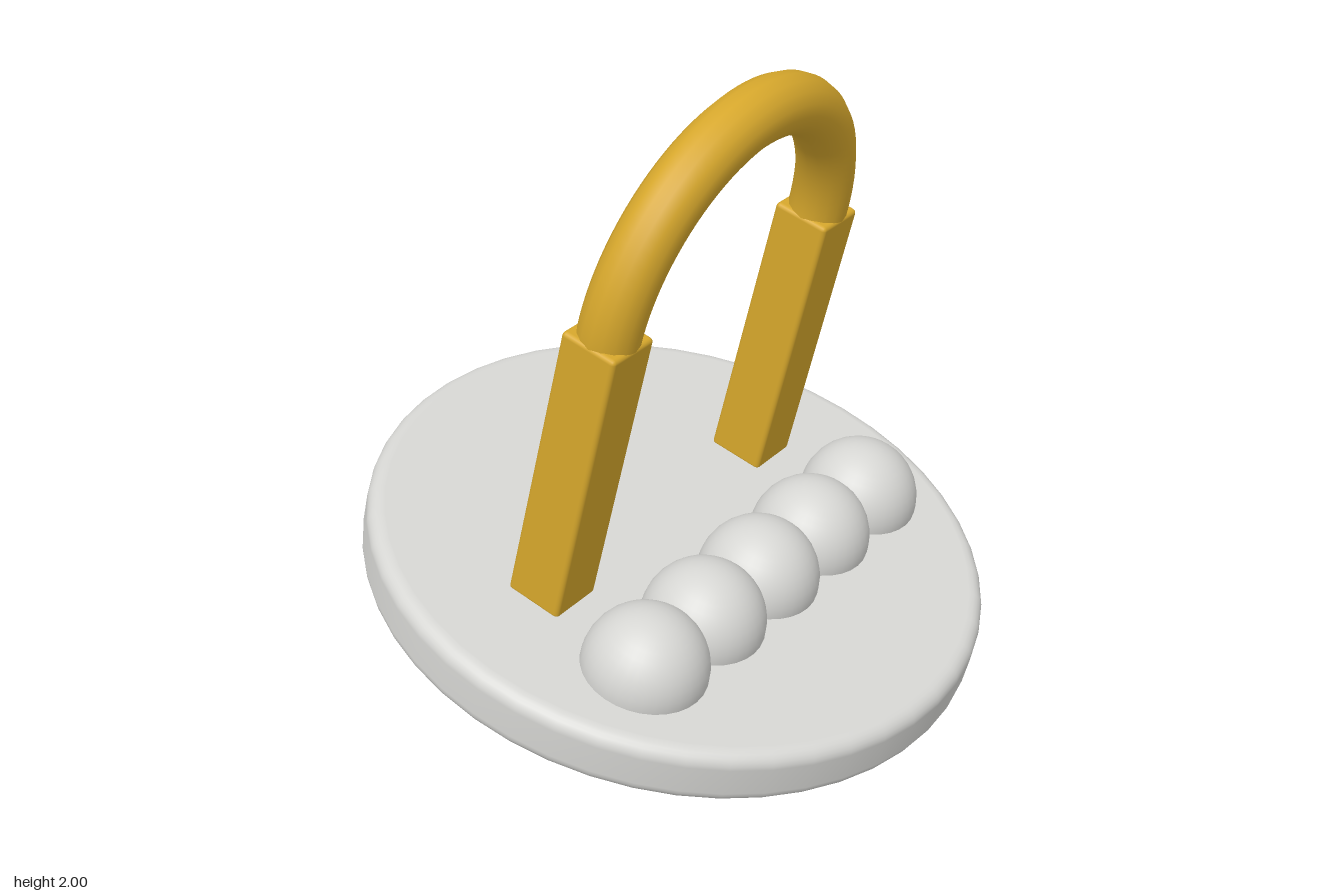
import * as THREE from 'three';
import { RoundedBoxGeometry } from 'three/addons/geometries/RoundedBoxGeometry.js';

const TILT = THREE.MathUtils.degToRad(14);

// Disc with rounded rims, flat on top and below
function roundedDisc(radius, y0, y1, bevel) {
  const pts = [new THREE.Vector2(0, y0), new THREE.Vector2(radius - bevel - 0.004, y0)];
  for (const [cy, start] of [[y0 + bevel, -Math.PI / 2], [y1 - bevel, 0]]) {
    for (let i = 0; i <= 6; i++) {
      const a = start + (i / 6) * (Math.PI / 2);
      pts.push(new THREE.Vector2(radius - bevel + bevel * Math.cos(a), cy + bevel * Math.sin(a)));
    }
  }
  pts.push(new THREE.Vector2(radius - bevel - 0.004, y1), new THREE.Vector2(0, y1));
  return new THREE.LatheGeometry(pts, 48);
}

export function createModel() {
  const lightGrey = new THREE.MeshStandardMaterial({ name: 'light grey', color: 0xd6d6d3 });
  const gold = new THREE.MeshStandardMaterial({ name: 'gold', color: 0xd6a72c });
  const slate = new THREE.MeshStandardMaterial({ name: 'slate blue', color: 0x9099ae });

  const model = new THREE.Group();
  model.name = 'model';

  // Everything leans forward together
  const body = new THREE.Group();
  body.name = 'tiltedBody';
  body.rotation.x = TILT;
  body.position.set(0, 0.064, -0.132);
  model.add(body);

  const add = (name, geometry, material, x, y, z) => {
    const mesh = new THREE.Mesh(geometry, material);
    mesh.name = name;
    mesh.position.set(x, y, z);
    body.add(mesh);
    return mesh;
  };

  // Tapered base and its thin collar
  add('base', new THREE.CylinderGeometry(0.795, 0.263, 0.455, 48), slate, 0, 0.2275, 0);
  add('baseCollar', new THREE.CylinderGeometry(0.795, 0.795, 0.02, 48), slate, 0, 0.465, 0);

  // Plate
  add('plate', roundedDisc(0.842, 0.47, 0.632, 0.04), lightGrey, 0, 0, 0);

  // Row of half-sunk balls
  const ballGeometry = new THREE.SphereGeometry(0.165, 32, 20);
  for (let i = -2; i <= 2; i++) add('ball', ballGeometry, lightGrey, i * 0.252, 0.637, 0.254);

  // Square posts
  const postGeometry = new RoundedBoxGeometry(0.16, 0.82, 0.16, 2, 0.012);
  for (const side of [-1, 1]) {
    add(side > 0 ? 'leftPost' : 'rightPost', postGeometry, gold, side * 0.455, 1.034, -0.086);
  }

  // Round arch joining the posts
  add('arch', new THREE.TorusGeometry(0.455, 0.079, 16, 48, Math.PI), gold, 0, 1.438, -0.084);

  return model;
}
